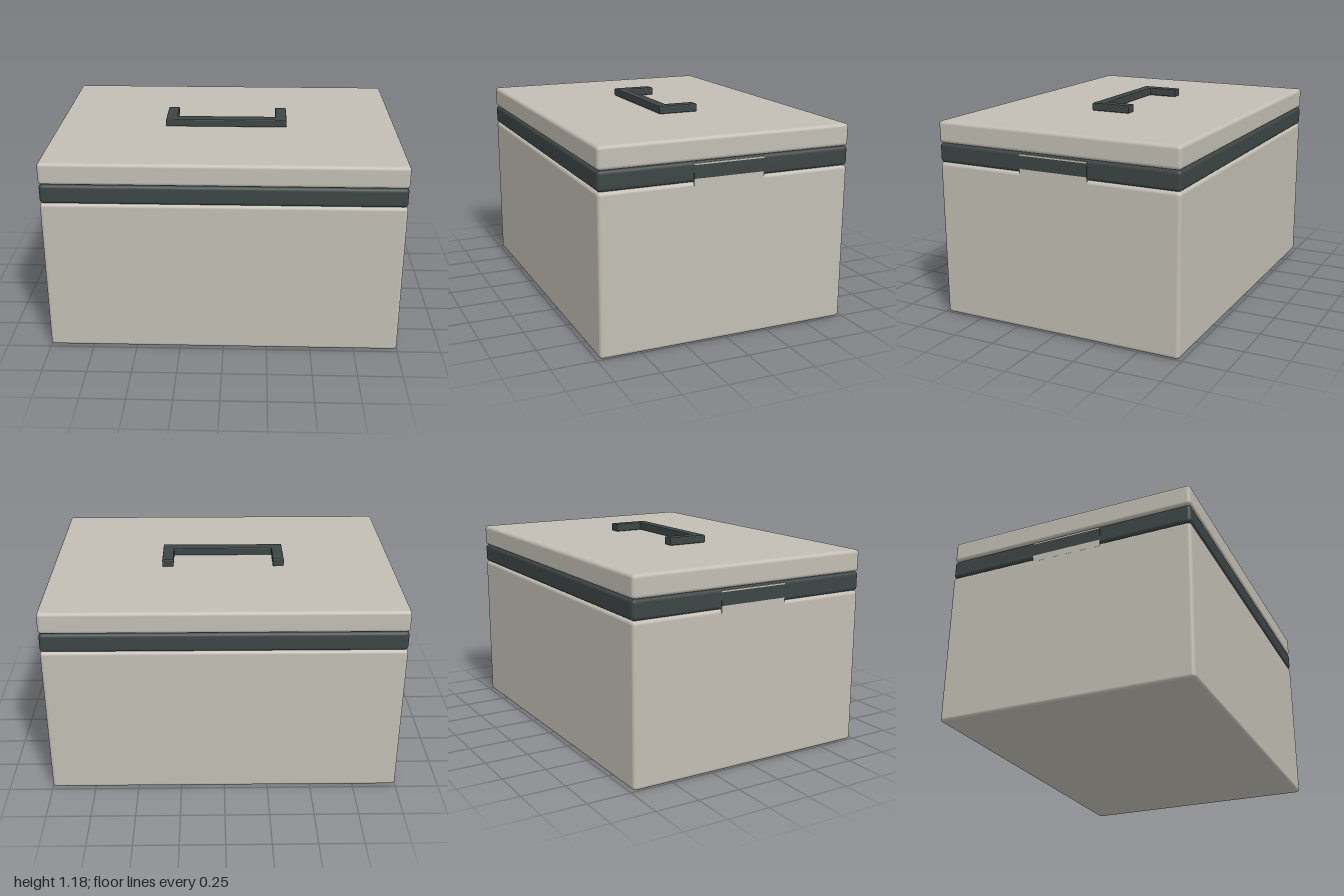
import * as THREE from 'three';
import { RoundedBoxGeometry } from 'three/addons/geometries/RoundedBoxGeometry.js';

export function createModel() {
  const model = new THREE.Group();
  model.name = 'storageBox';

  const shell = new THREE.MeshStandardMaterial({ color: 0xc2beb4 });
  shell.name = 'warm grey shell';
  const trim = new THREE.MeshStandardMaterial({ color: 0x3d4545 });
  trim.name = 'dark slate trim';

  const add = (name, geometry, material, x, y, z, parent = model) => {
    const mesh = new THREE.Mesh(geometry, material);
    mesh.name = name;
    mesh.position.set(x, y, z);
    parent.add(mesh);
  };

  // Stacked rounded slabs: container, sealing band and lid
  const slab = (name, y0, y1, radius, material, w = 2) =>
    add(name, new RoundedBoxGeometry(w, y1 - y0, 1.464, 3, radius), material, 0, (y0 + y1) / 2, 0);
  slab('body', 0, 0.895, 0.02, shell);
  slab('band', 0.895, 1.005, 0.02, trim, 1.996);
  slab('lid', 1.005, 1.13, 0.02, shell);

  // Flush latch plates on both ends, in three strips
  const strips = [
    ['latchLowerPlate', 0.875, 0.914, shell],
    ['latchRecess', 0.914, 0.987, trim],
    ['latchUpperEdge', 0.987, 0.996, shell],
  ];
  for (const side of [1, -1]) {
    const latch = new THREE.Group();
    latch.name = side > 0 ? 'leftLatch' : 'rightLatch';
    model.add(latch);
    for (const [name, y0, y1, material] of strips) {
      add(name, new THREE.BoxGeometry(0.008, y1 - y0, 0.41), material, side * 0.9965, (y0 + y1) / 2, 0, latch);
    }
  }

  // Flat U-shaped handle lying on the lid, open towards the back
  const outline = [
    [-0.357, 0.12], [-0.357, -0.115], [0.355, -0.115], [0.355, 0.12],
    [0.29, 0.12], [0.29, -0.05], [-0.293, -0.05], [-0.293, 0.12],
  ];
  const shape = new THREE.Shape(outline.map(([x, y]) => new THREE.Vector2(x, y)));
  const handle = new THREE.ExtrudeGeometry(shape, {
    depth: 0.034, bevelEnabled: true, bevelSize: 0.006, bevelThickness: 0.006, bevelOffset: -0.006, bevelSegments: 2,
  });
  handle.rotateX(-Math.PI / 2);
  add('handle', handle, trim, 0, 1.138, 0);

  return model;
}
